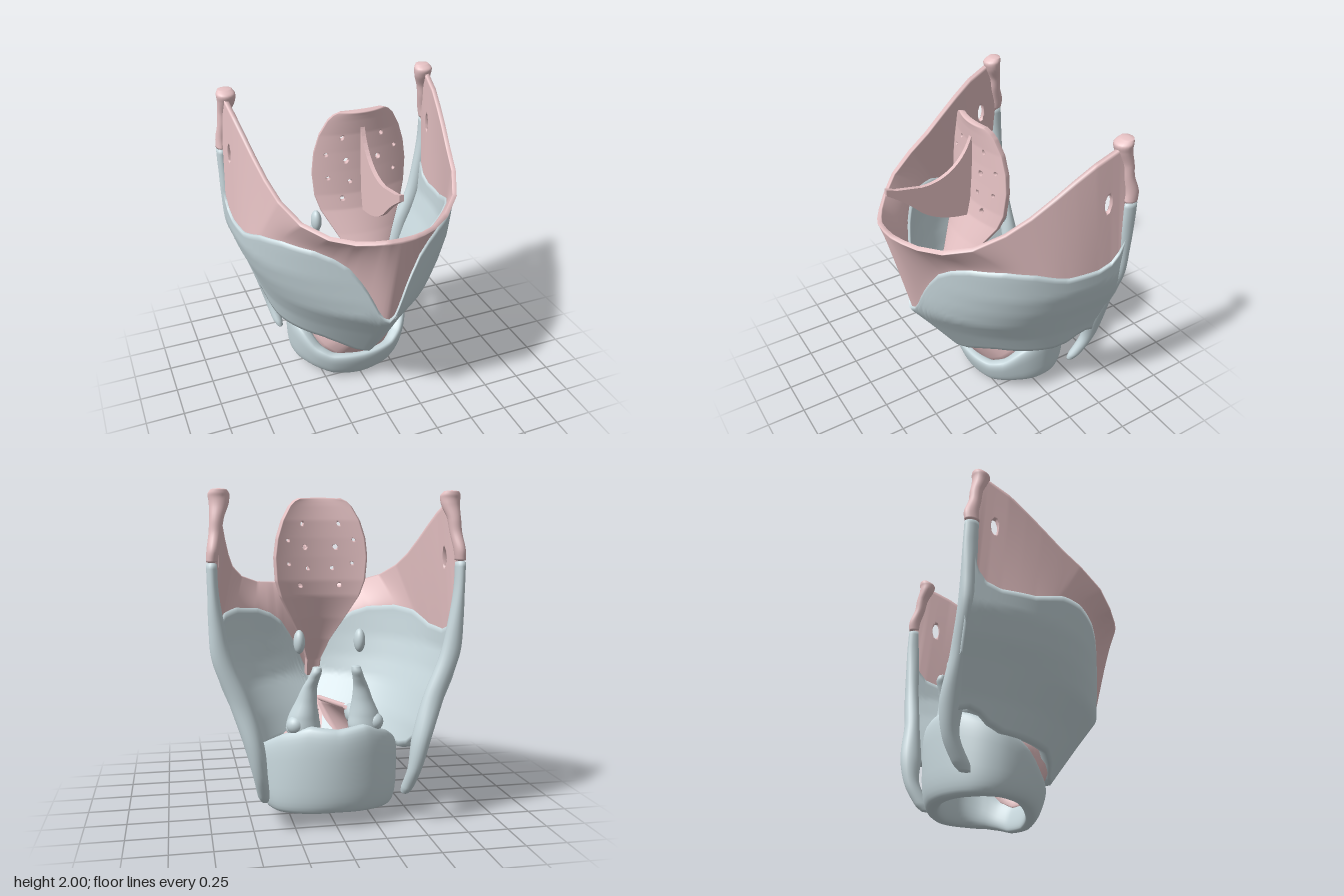
import * as THREE from 'three';
import { mergeVertices } from 'three/addons/utils/BufferGeometryUtils.js';

const V = (x, y, z) => new THREE.Vector3(x, y, z);

// piecewise-linear lookup in rows of [t, a, b, ...]; returns [a, b, ...]
function look(rows, t) {
  let i = 0;
  while (i < rows.length - 2 && t > rows[i + 1][0]) i++;
  const p = rows[i], q = rows[i + 1];
  const k = THREE.MathUtils.clamp((t - p[0]) / (q[0] - p[0]), 0, 1);
  return p.slice(1).map((a, n) => a + (q[n + 1] - a) * k);
}

function build(positions, index) {
  const g = new THREE.BufferGeometry();
  g.setAttribute('position', new THREE.Float32BufferAttribute(positions, 3));
  g.setIndex(index);
  return g;
}

// closed smooth surface from fn(u, v)
function surface(fn, nu, nv) {
  const pos = [], idx = [];
  for (let j = 0; j <= nv; j++)
    for (let i = 0; i <= nu; i++) pos.push(...fn(i / nu, j / nv).toArray());
  for (let j = 0; j < nv; j++)
    for (let i = 0; i < nu; i++) {
      const a = j * (nu + 1) + i, d = a + nu + 1;
      idx.push(a, a + 1, d + 1, a, d + 1, d);
    }
  const g = mergeVertices(build(pos, idx), 1e-5);
  g.computeVertexNormals();
  return g;
}

// thick sheet around fn(u, v), pierced by elliptical holes [u, v, ru, rv]
function sheet(fn, nu, nv, thick, holes = []) {
  const front = [], back = [], inside = [], idx = [], edges = new Map();
  const e = 1e-3, n = (nu + 1) * (nv + 1);
  for (let j = 0; j <= nv; j++)
    for (let i = 0; i <= nu; i++) {
      let u = i / nu, v = j / nv, hit = 0;
      holes.forEach(([cu, cv, ru, rv], h) => {
        const du = (u - cu) / ru, dv = (v - cv) / rv, r = Math.hypot(du, dv);
        if (hit || r >= 1) return;
        hit = h + 1;
        if (r > 1e-6) { u = cu + ru * du / r; v = cv + rv * dv / r; }
      });
      const p = fn(u, v);
      const tu = fn(Math.min(u + e, 1), v).sub(fn(Math.max(u - e, 0), v));
      const tv = fn(u, Math.min(v + e, 1)).sub(fn(u, Math.max(v - e, 0)));
      const nrm = tu.cross(tv).normalize().multiplyScalar(thick / 2);
      front.push(...p.clone().add(nrm).toArray());
      back.push(...p.sub(nrm).toArray());
      inside.push(hit);
    }
  for (let j = 0; j < nv; j++)
    for (let i = 0; i < nu; i++) {
      const a = j * (nu + 1) + i, q = [a, a + 1, a + nu + 2, a + nu + 1];
      if (q.every(k => inside[k] && inside[k] === inside[a])) continue;
      idx.push(q[0], q[1], q[2], q[0], q[2], q[3]);
      idx.push(n + q[0], n + q[2], n + q[1], n + q[0], n + q[3], n + q[2]);
      q.forEach((s, k) => edges.set(s + '_' + q[(k + 1) % 4], [s, q[(k + 1) % 4]]));
    }
  // walls along the rim and the holes
  for (const [a, b] of edges.values())
    if (!edges.has(b + '_' + a)) idx.push(b, a, n + a, b, n + a, n + b);
  const g = build([...front, ...back], idx);
  g.computeVertexNormals();
  return g;
}

// rising loft of level ellipses [x, y, z, rx, rz]
function loft(rows) {
  const mid = new THREE.CatmullRomCurve3(rows.map(r => V(r[0], r[1], r[2])));
  const rad = new THREE.CatmullRomCurve3(rows.map(r => V(r[3], r[4], 0)));
  return surface((u, v) => {
    const a = u * Math.PI * 2, r = rad.getPoint(v);
    const edge = v === 0 || v === 1 ? 0 : 1;
    return mid.getPoint(v).add(V(Math.cos(a) * r.x * edge, 0, -Math.sin(a) * r.y * edge));
  }, 20, rows.length * 6);
}

function ellipsoid(x, y, z, rx, ry, rz) {
  return new THREE.SphereGeometry(1, 24, 16).scale(rx, ry, rz).translate(x, y, z);
}

function mirrored(geo) {
  const g = geo.clone().scale(-1, 1, 1), ix = g.index.array;
  for (let i = 0; i < ix.length; i += 3) [ix[i], ix[i + 1]] = [ix[i + 1], ix[i]];
  g.computeVertexNormals();
  return g;
}

// shield wall: s runs from the front midline (0) to the rear edge (1)
const wallRows = [[0.31, 0.17, 0.465], [0.58, 0.36, 0.53], [0.77, 0.5, 0.6], [0.9, 0.515, 0.655], [1.05, 0.52, 0.7], [1.3, 0.53, 0.715], [1.6, 0.53, 0.72]];
const wallTop = [[0, 0.775], [0.02, 0.8], [0.035, 0.87], [0.05, 0.96], [0.07, 1.05], [0.1, 1.15], [0.14, 1.21], [0.2, 1.25], [0.33, 1.27],
  [0.46, 1.25], [0.55, 1.21], [0.63, 1.18], [0.82, 1.17], [0.9, 1.2], [0.95, 1.27], [1, 1.5]];
const wallBottom = [[0, 0.31], [0.06, 0.315], [0.15, 0.37], [0.25, 0.41], [0.64, 0.41], [0.75, 0.44], [0.83, 0.49], [0.9, 0.51], [1, 0.48]];
function wallPoint(s, y) {
  const [zf, xb] = look(wallRows, y), t = Math.abs(s);
  const power = THREE.MathUtils.clamp(2.7 + (y - 0.4) * 1.1, 2.6, 3.6);
  return V(Math.sign(s) * xb * (1 - Math.pow(1 - t, power)), y, zf + (-0.59 - zf) * t);
}

// upper rim of the membrane
const rimRows = [[0, 0, 1.42, 0.65], [0.04, 0.08, 1.42, 0.645], [0.07, 0.15, 1.41, 0.615], [0.11, 0.24, 1.4, 0.565], [0.2, 0.365, 1.41, 0.475],
  [0.33, 0.485, 1.46, 0.35], [0.46, 0.56, 1.54, 0.185], [0.55, 0.595, 1.62, 0.04], [0.63, 0.625, 1.72, -0.1], [0.72, 0.645, 1.8, -0.21],
  [0.82, 0.665, 1.88, -0.33], [1, 0.685, 1.97, -0.53]];

// ring: angle from the front, top height, bottom height, thickness
const ringRows = [[0, 0.21, 0.0, 0.09], [0.5, 0.22, 0.02, 0.09], [0.8, 0.27, 0.05, 0.1], [1.1, 0.37, 0.07, 0.11], [1.57, 0.48, 0.08, 0.12],
  [2.1, 0.57, 0.08, 0.12], [2.6, 0.63, 0.09, 0.13], [3.15, 0.61, 0.1, 0.14]];

// leaf: height, midline z, half width
const leafRows = [[0.78, 0.34, 0.045], [0.9, 0.29, 0.05], [1.05, 0.21, 0.1], [1.2, 0.14, 0.18], [1.35, 0.08, 0.26], [1.45, 0.06, 0.29],
  [1.6, 0.05, 0.3], [1.72, 0.045, 0.285], [1.83, 0.045, 0.25], [1.92, 0.055, 0.2], [1.95, 0.06, 0.17], [1.97, 0.065, 0.13]];

export function createModel() {
  const group = new THREE.Group();
  const grey = new THREE.MeshStandardMaterial({ color: 0xc8d8dd });
  grey.name = 'cartilage grey';
  const pink = new THREE.MeshStandardMaterial({ color: 0xe6c2c4 });
  pink.name = 'ligament pink';
  const add = (name, geo, mat) => {
    const m = new THREE.Mesh(geo, mat);
    m.name = name;
    group.add(m);
  };
  const pair = (name, geo, mat) => {
    add(name + 'Left', geo, mat);
    add(name + 'Right', mirrored(geo), mat);
  };
  const pow = (x, p) => Math.sign(x) * Math.pow(Math.abs(x), p);

  // large shield with its front notch, and the rear horns
  add('thyroidShield', sheet((u, v) => {
    const s = u * 2 - 1, t = Math.abs(s);
    const lo = look(wallBottom, t)[0], hi = look(wallTop, t)[0];
    return wallPoint(s, lo + (hi - lo) * v);
  }, 140, 24, 0.05), grey);
  pair('thyroidHorn', loft([[0.43, 0.17, -0.48, 0.02, 0.03], [0.44, 0.22, -0.51, 0.035, 0.05], [0.465, 0.36, -0.58, 0.042, 0.05],
    [0.5, 0.55, -0.59, 0.058, 0.068], [0.575, 0.8, -0.58, 0.064, 0.05], [0.67, 1.05, -0.575, 0.06, 0.048],
    [0.7, 1.25, -0.575, 0.045, 0.046], [0.716, 1.45, -0.575, 0.031, 0.045], [0.72, 1.61, -0.572, 0.03, 0.043]]), grey);

  // membrane above the shield, pierced once on each side, flaring towards its rim
  add('upperMembrane', sheet((u, v) => {
    const s = u * 2 - 1, t = Math.abs(s), [x, y, z] = look(rimRows, t);
    const base = wallPoint(s, look(wallTop, t)[0] - 0.02);
    const flare = Math.pow(v, 1 + 0.5 * Math.sin(Math.PI * Math.min(t / 0.5, 1)));
    const p = base.clone().lerp(V(Math.sign(s) * x, y, z), flare);
    return p.setY(base.y + (y - base.y) * v);
  }, 200, 32, 0.026, [-1, 1].map(k => [0.5 + k * 0.442, 0.59, 0.011, 0.085])), pink);
  pair('hornLigament', loft([[0.72, 1.59, -0.57, 0.03, 0.045], [0.712, 1.66, -0.575, 0.034, 0.045], [0.695, 1.76, -0.55, 0.036, 0.038],
    [0.685, 1.84, -0.54, 0.04, 0.04], [0.67, 1.92, -0.515, 0.055, 0.05], [0.67, 1.965, -0.51, 0.06, 0.055], [0.67, 2.0, -0.535, 0.04, 0.03]]), pink);

  // lower ring, low in front, tall and narrowing upwards behind
  add('cricoidRing', surface((u, v) => {
    const a = u * Math.PI * 2, b = v * Math.PI * 2;
    const fore = Math.max(0, Math.cos(a)), rear = Math.max(0, -Math.cos(a));
    const [top, bottom, th] = look(ringRows, Math.min(a, Math.PI * 2 - a));
    const c = pow(Math.cos(b), 0.65), h = pow(Math.sin(b), 0.65 + 0.2 * fore);
    const inset = th / 2 * (1 - c) + (0.012 + 0.022 * fore) * (1 - h);
    const round = 0.88 + 0.12 * rear, taper = 1 - 0.1 * rear * (1 + h);
    return V(pow(Math.sin(a), round) * (0.445 - inset) * taper, (top + bottom) / 2 + h * (top - bottom) / 2,
      -0.26 + pow(Math.cos(a), round) * (0.365 + 0.025 * fore - inset));
  }, 96, 32), grey);

  // cone of membrane from the ring up to the vocal folds
  const foldRows = [[0, 0, 0.36, 0.17], [0.2, 0.03, 0.6, 0.32], [0.3, 0.05, 0.62, 0.28], [1, 0.088, 0.7, -0.36]];
  pair('conusMembrane', sheet((u, v) => {
    const a = u * 2.45, top = look(ringRows, a)[0];
    return V(0.345 * Math.sin(a), top - 0.04, -0.26 + 0.295 * Math.cos(a)).lerp(V(...look(foldRows, u)), v);
  }, 40, 12, 0.02), pink);
  pair('vocalFold', new THREE.TubeGeometry(new THREE.LineCurve3(V(0.088, 0.7, -0.34), V(0.045, 0.61, 0.34)), 8, 0.017, 10), pink);

  // paired pyramids on the ring's rear edge
  pair('arytenoid', loft([[0.19, 0.55, -0.44, 0.08, 0.06], [0.19, 0.61, -0.43, 0.105, 0.09], [0.185, 0.68, -0.425, 0.09, 0.09],
    [0.17, 0.77, -0.44, 0.062, 0.062], [0.155, 0.85, -0.46, 0.045, 0.042], [0.135, 0.91, -0.485, 0.035, 0.035],
    [0.122, 0.95, -0.5, 0.032, 0.032], [0.115, 0.985, -0.495, 0.025, 0.025]]), grey);
  pair('vocalProcess', ellipsoid(0.125, 0.66, -0.355, 0.042, 0.06, 0.095), grey);
  pair('muscularProcess', ellipsoid(0.24, 0.63, -0.465, 0.055, 0.055, 0.055), grey);
  pair('cuneiform', ellipsoid(0.188, 1.1, -0.285, 0.035, 0.073, 0.046), grey);

  // perforated leaf
  const holes = [];
  for (const [x, y, r] of [[0.12, 1.81, 0.013], [0.1, 1.665, 0.017], [0.215, 1.71, 0.012], [0.08, 1.53, 0.014], [0.21, 1.56, 0.012], [0.13, 1.42, 0.015]])
    for (const k of [-1, 1]) {
      const w = look(leafRows, y)[1];
      holes.push([0.5 + k * x / w / 2, (y - 0.78) / 1.19, r / w / 2, r / 1.19]);
    }
  add('epiglottisLeaf', sheet((u, v) => {
    const s = u * 2 - 1, y = 0.78 + 1.19 * v, [z, w] = look(leafRows, y);
    return V(w * s, y, z - 0.2 * w * s * s);
  }, 80, 120, 0.032, holes), pink);

  // thin upright ligament running forward from the leaf
  const fin = new THREE.Shape();
  fin.moveTo(0.055, 1.9);
  fin.bezierCurveTo(0.1, 1.72, 0.24, 1.62, 0.4, 1.63);
  fin.lineTo(0.56, 1.66);
  fin.lineTo(0.625, 1.685);
  fin.lineTo(0.625, 1.645);
  fin.quadraticCurveTo(0.5, 1.56, 0.42, 1.47);
  fin.quadraticCurveTo(0.3, 1.36, 0.1, 1.34);
  fin.lineTo(0.055, 1.45);
  const finGeo = new THREE.ExtrudeGeometry(fin, { depth: 0.026, bevelEnabled: false, curveSegments: 12 });
  add('frontLigament', finGeo.translate(0, 0, -0.013).rotateY(-Math.PI / 2), pink);
  return group;
}
